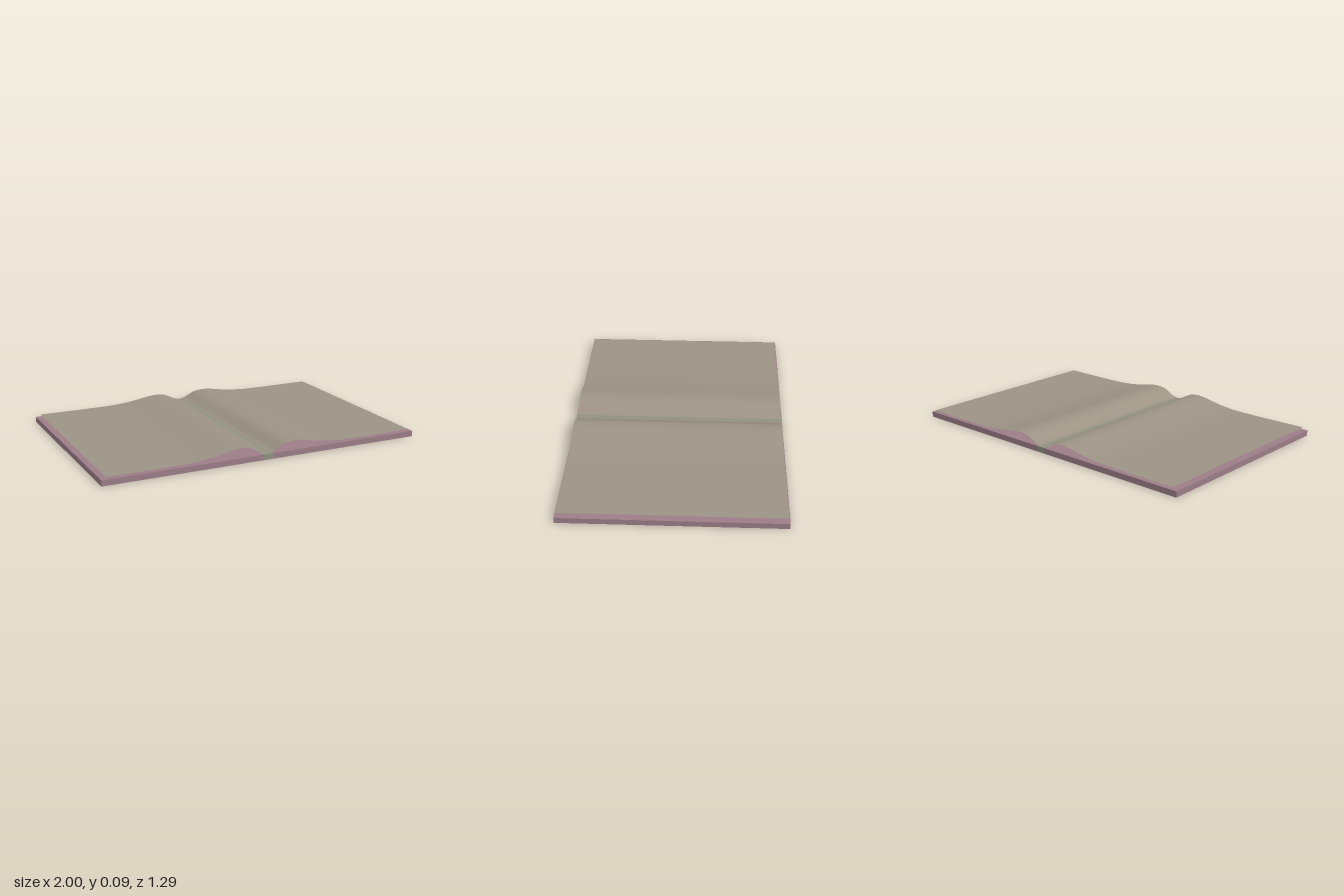
import * as THREE from 'three';

const mat = (name, color, extra = {}) =>
  Object.assign(new THREE.MeshStandardMaterial({ color, ...extra }), { name });

// Open sheet: a plane whose height follows a curve across the page
function pageGeometry(side) {
  const curve = new THREE.CatmullRomCurve3([
    [0.012, 0.038], [0.04, 0.045], [0.07, 0.06], [0.11, 0.079], [0.17, 0.087], [0.23, 0.082],
    [0.3, 0.069], [0.38, 0.057], [0.48, 0.049], [0.6, 0.047], [0.78, 0.047], [0.972, 0.048],
  ].map(([x, y]) => new THREE.Vector3(x, y, 0)));
  const cols = 56;
  const geo = new THREE.PlaneGeometry(1, 1.276, cols, 6).rotateX(-Math.PI / 2);
  const pos = geo.attributes.position;
  for (let i = 0; i < pos.count; i++) {
    const u = pos.getX(i) + 0.5;
    const p = curve.getPoint(side > 0 ? u : 1 - u);
    const z = pos.getZ(i);
    // The hump is slightly taller towards the front
    const lift = 1 + (z / 0.638) * 0.07;
    pos.setXYZ(i, side * p.x, 0.047 + (p.y - 0.047) * (p.y > 0.047 ? lift : 1), z);
  }
  geo.computeVertexNormals();
  return geo;
}

export function createModel() {
  const group = new THREE.Group();
  group.name = 'openBook';
  const cover = mat('cover mauve', 0x9c7d87);
  const spine = mat('spine grey green', 0x8f927f);
  const paper = mat('aged paper', 0x9c9385, { side: THREE.DoubleSide });

  const add = (name, geo, material, x = 0, y = 0) => {
    const mesh = new THREE.Mesh(geo, material);
    mesh.name = name;
    mesh.position.set(x, y, 0);
    group.add(mesh);
  };

  // Spine strip between the two boards
  add('spine', new THREE.BoxGeometry(0.064, 0.034, 1.288), spine, 0, 0.017);

  // Cover boards and curved pages, mirrored about the spine
  for (const [side, label] of [[1, 'left'], [-1, 'right']]) {
    add(label + 'Cover', new THREE.BoxGeometry(0.968, 0.034, 1.288), cover, side * 0.516, 0.017);
    add(label + 'Page', pageGeometry(side), paper);
  }
  return group;
}
